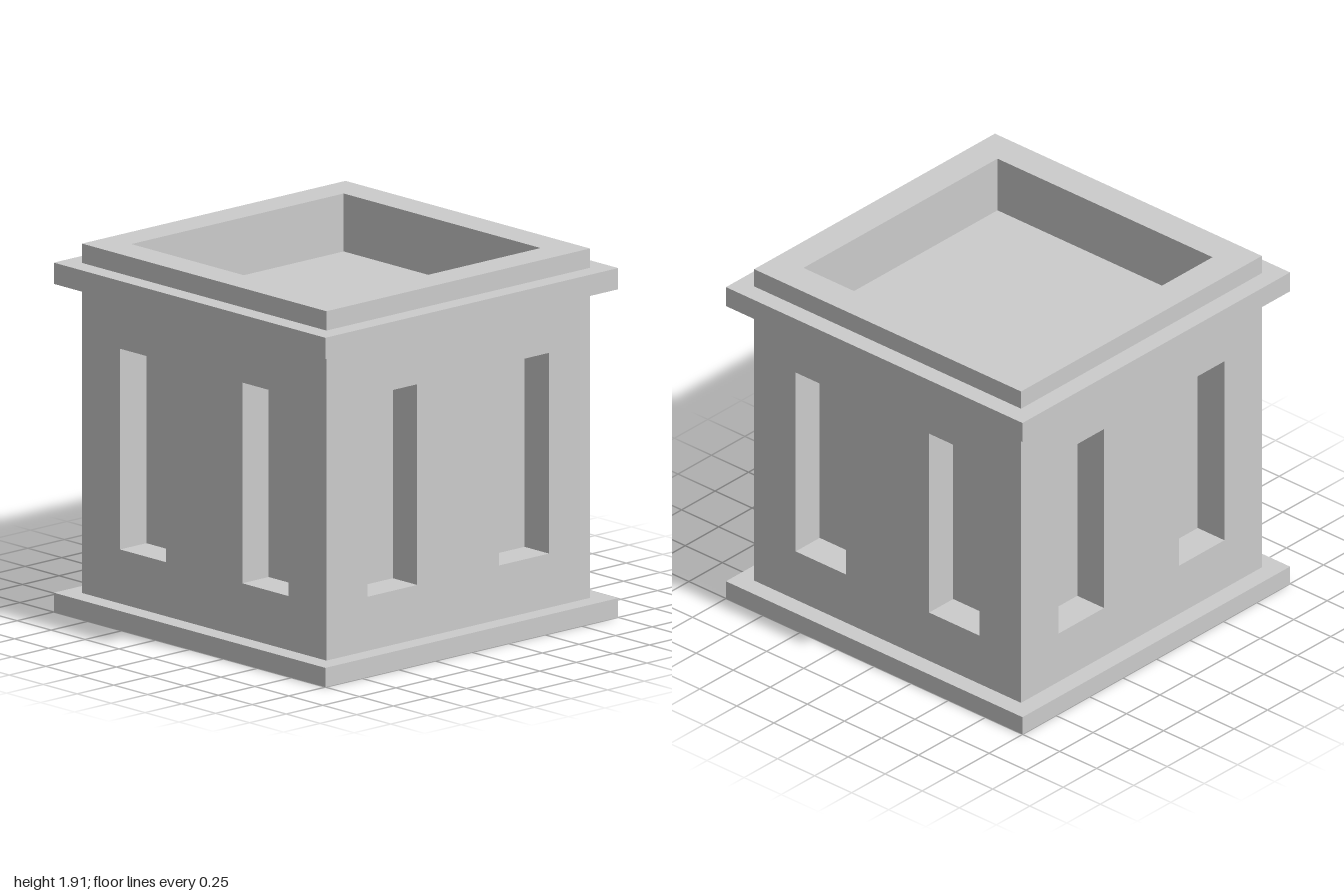
import * as THREE from 'three';

const material = new THREE.MeshStandardMaterial({
  color: 0xcccccc, flatShading: true, side: THREE.DoubleSide,
});

const WALL = 0.9, WALL_BOTTOM = 0.1, WALL_TOP = 1.7;
const WIN = { x: 0.45, w: 0.34, bottom: 0.38, top: 1.42, depth: 0.18 };

function add(parent, name, geometry) {
  const mesh = new THREE.Mesh(geometry, material);
  mesh.name = name;
  parent.add(mesh);
  return mesh;
}

// Sweeps a profile of [half width, height] points around a square plan
function squareSweep(profile) {
  const points = profile.map(([r, y]) => new THREE.Vector2(r * Math.SQRT2, y));
  const geometry = new THREE.LatheGeometry(points, 4).rotateY(Math.PI / 4).toNonIndexed();
  geometry.computeVertexNormals();
  return geometry;
}

// Flat wall with two window openings
function wallGeometry() {
  const shape = new THREE.Shape([
    new THREE.Vector2(-WALL, WALL_BOTTOM), new THREE.Vector2(WALL, WALL_BOTTOM),
    new THREE.Vector2(WALL, WALL_TOP), new THREE.Vector2(-WALL, WALL_TOP),
  ]);
  for (const side of [-1, 1]) {
    const a = side * WIN.x - WIN.w / 2, b = a + WIN.w;
    shape.holes.push(new THREE.Path([
      new THREE.Vector2(a, WIN.bottom), new THREE.Vector2(a, WIN.top),
      new THREE.Vector2(b, WIN.top), new THREE.Vector2(b, WIN.bottom),
    ]));
  }
  return new THREE.ShapeGeometry(shape);
}

// Box without its outward face
function recessGeometry() {
  const geometry = new THREE.BoxGeometry(WIN.w, WIN.top - WIN.bottom, WIN.depth);
  const index = Array.from(geometry.index.array);
  index.splice(24, 6);
  geometry.setIndex(index);
  geometry.clearGroups();
  return geometry;
}

export function createModel() {
  const model = new THREE.Group();
  model.name = 'squareTower';

  // Hollow base flange, open underneath
  add(model, 'baseFlange', squareSweep([[WALL, 0], [1, 0], [1, WALL_BOTTOM], [WALL, WALL_BOTTOM]]));

  // Four walls, each with two recessed windows
  const wall = wallGeometry(), recess = recessGeometry();
  ['front', 'left', 'back', 'right'].forEach((name, i) => {
    const side = new THREE.Group();
    side.name = name + 'Side';
    side.rotation.y = i * Math.PI / 2;
    add(side, 'wall', wall).position.z = WALL;
    for (const s of [-1, 1]) {
      add(side, 'windowRecess', recess)
        .position.set(s * WIN.x, (WIN.bottom + WIN.top) / 2, WALL - WIN.depth / 2);
    }
    model.add(side);
  });

  // Cornice, parapet and the sunken roof
  add(model, 'cornice', squareSweep([[WALL, WALL_TOP], [1, WALL_TOP], [1, 1.81], [WALL, 1.81]]));
  add(model, 'parapet', squareSweep([[WALL, 1.81], [WALL, 1.91], [0.725, 1.91], [0.725, 1.61]]));
  const roof = add(model, 'roofFloor', new THREE.PlaneGeometry(1.45, 1.45).rotateX(-Math.PI / 2));
  roof.position.y = 1.61;

  return model;
}
